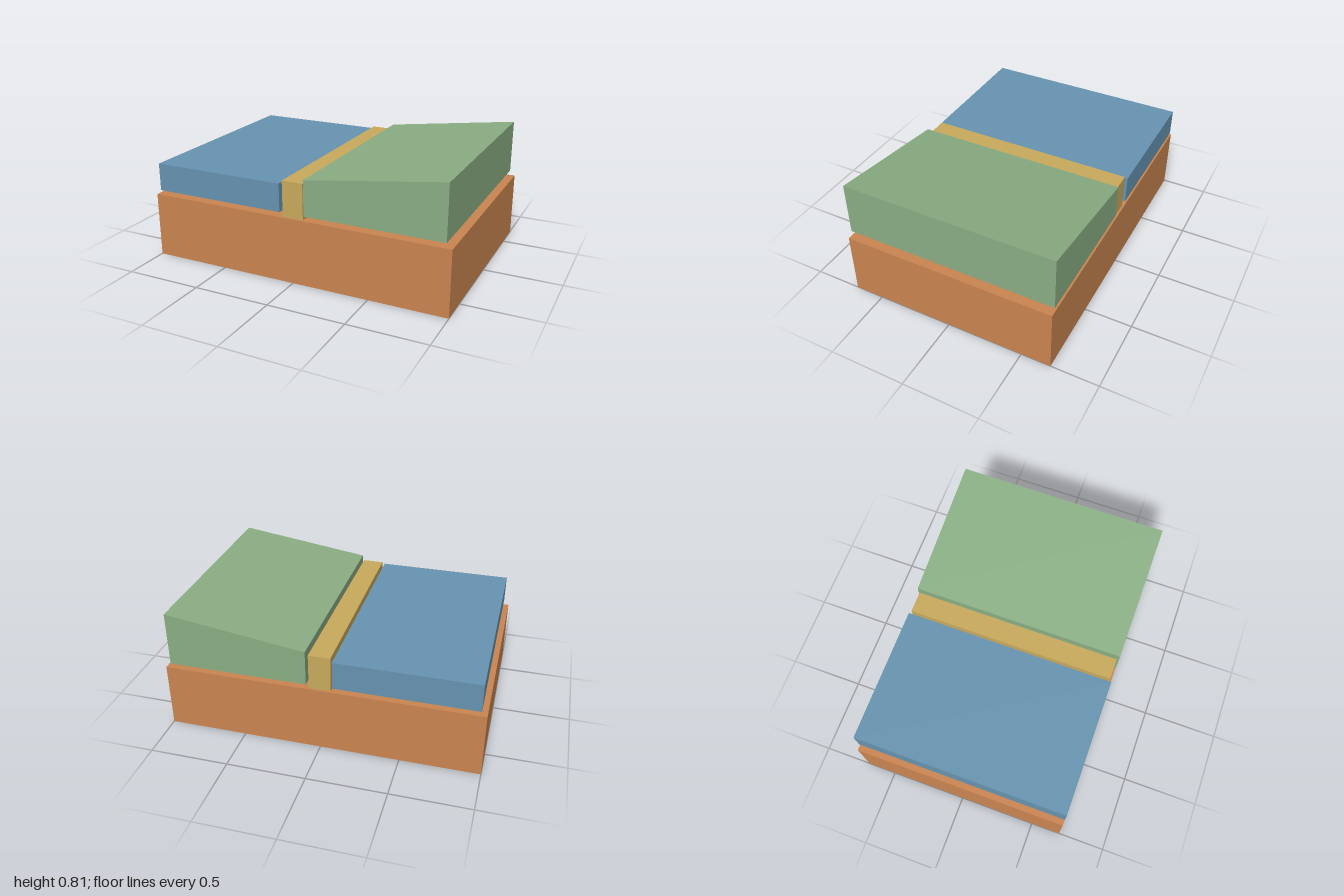
import * as THREE from 'three';

const material = (name, color) => {
  const m = new THREE.MeshStandardMaterial({ color });
  m.name = name;
  return m;
};

// Extrudes a front outline of [x, y] points along z, centred on z = 0
function prism(name, outline, depth, mat) {
  const shape = new THREE.Shape(outline.map(([x, y]) => new THREE.Vector2(x, y)));
  const geometry = new THREE.ExtrudeGeometry(shape, { depth, bevelEnabled: false });
  geometry.translate(0, 0, -depth / 2);
  const mesh = new THREE.Mesh(geometry, mat);
  mesh.name = name;
  return mesh;
}

// Outline with a level bottom and a top that may slope from left to right
const outline = (x0, x1, bottom, top0, top1 = top0) =>
  [[x0, bottom], [x1, bottom], [x1, top1], [x0, top0]];

export function createModel() {
  const orange = material('orange', 0xc98450);
  const blue = material('blue', 0x6693b0);
  const yellow = material('yellow', 0xc8a95c);
  const green = material('green', 0x89ad83);

  const model = new THREE.Group();
  model.name = 'model';
  const depth = 1.384;

  model.add(
    // Solid base block
    prism('base', outline(-1, 1, 0, 0.423), depth, orange),
    // Flat slab and sloping wedge, floating just above the base
    prism('flatSlab', outline(-0.966, -0.082, 0.455, 0.636), depth, blue),
    prism('slopedWedge', outline(0.082, 0.966, 0.455, 0.682, 0.805), depth, green),
    // Divider bar standing on the base between them
    prism('dividerBar', outline(-0.069, 0.069, 0.423, 0.653), 1.354, yellow),
  );
  return model;
}
